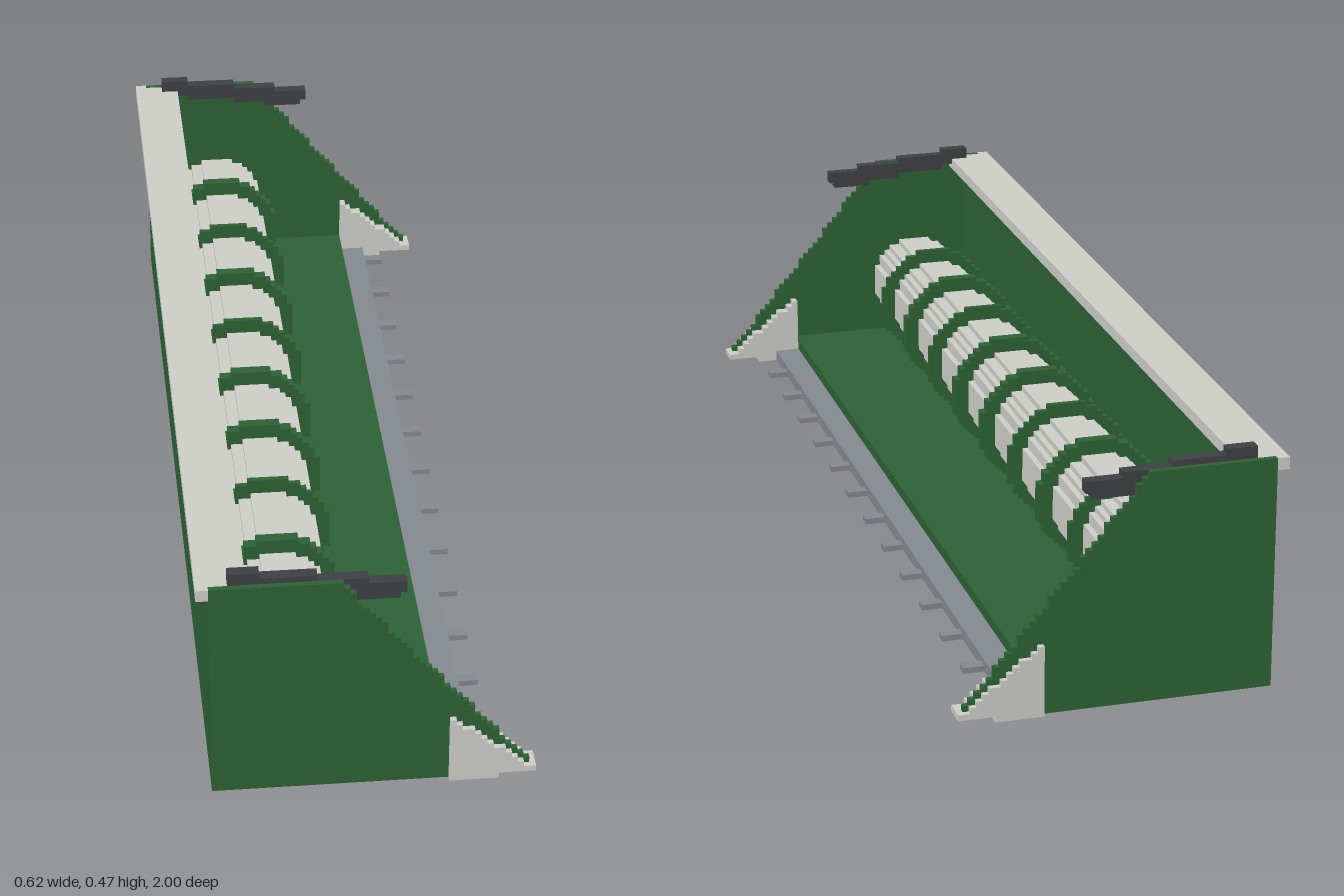
import * as THREE from 'three';

const U = 2 / 174; // size of one block; all dimensions below are in blocks

const mat = (name, color) => Object.assign(new THREE.MeshStandardMaterial({ color }), { name });

export function createModel() {
  const group = new THREE.Group();
  const green = mat('green', 0x2d6135);
  const white = mat('offWhite', 0xcdcdc8);
  const steel = mat('steel', 0x848990);
  const dark = mat('charcoal', 0x3d4043);

  const add = (name, geometry, material) => {
    const mesh = new THREE.Mesh(geometry, material);
    mesh.name = name;
    group.add(mesh);
    return mesh;
  };

  // Box given by its limits on each axis
  const box = (name, material, x0, x1, y0, y1, z0, z1) => {
    const g = new THREE.BoxGeometry((x1 - x0) * U, (y1 - y0) * U, (z1 - z0) * U);
    g.translate((x0 + x1) / 2 * U, (y0 + y1) / 2 * U, (z0 + z1) / 2 * U);
    return add(name, g, material);
  };

  // Side profile extruded across the width
  const slab = (name, material, points, z0, z1) => {
    const shape = new THREE.Shape(points.map(([x, y]) => new THREE.Vector2(x * U, y * U)));
    const g = new THREE.ExtrudeGeometry(shape, { depth: (z1 - z0) * U, bevelEnabled: false });
    g.translate(0, 0, z0 * U);
    return add(name, g, material);
  };

  // Staircase edge, one step per row, from row y0 up to y1
  const stairs = (y0, y1, endX) => {
    const pts = [];
    for (let i = y0; i < y1; i++) pts.push([endX(i), i], [endX(i), i + 1]);
    return pts;
  };

  // Blocky circle outline
  const blockCircle = (cx, cy, r) => {
    const f = r % 1;
    const right = stairs(0, 2 * r, i => {
      const y = i - r + 0.5;
      return Math.round(Math.sqrt(r * r - y * y) - f) + f;
    });
    const left = right.map(([x, y]) => [-x, y]).reverse();
    return [...right, ...left].map(([x, y]) => [x + cx, y + cy - r]);
  };

  // Trough
  box('floor', green, -25, 13, 0, 4, -85, 85);
  box('backWall', green, -25, -22, 4, 37, -85, 85);
  box('topRail', white, -25, -19, 37, 39, -85, 85);
  box('topRailOverhang', white, -27, -25, 37, 39, -86, 86);

  // Side panels, end wedges and top brackets
  const panel = [[-25, 0], [13, 0], [13, 2],
    ...stairs(2, 39, i => Math.round(-4 + (38 - i) * 0.82)), [-25, 39]];
  const wedge = [[13, 0], [21, 0], [21, 1],
    ...stairs(1, 12, i => Math.round(14 + (11 - i) * 1.25)), [13, 12]];
  const bracket = [[-22, 38], [-17, 38], [-17, 37], [-8, 37], [-8, 36], [-2, 36], [-2, 35],
    [5, 35], [5, 36], [6, 36], [6, 38], [0, 38], [0, 39], [-8, 39], [-8, 40], [-17, 40],
    [-17, 41], [-22, 41]];
  const mirrored = (name, material, pts, z0, z1) => {
    slab(name + 'Left', material, pts, z0, z1);
    slab(name + 'Right', material, pts, -z1, -z0);
  };
  mirrored('sidePanel', green, panel, 85, 86);
  mirrored('endWedge', white, wedge, 83, 87);
  mirrored('topBracket', dark, bracket, 83, 85);

  // Auger drum with flights
  slab('augerDrum', white, blockCircle(-11.5, 14.5, 8), -85, 85);
  const flight = blockCircle(-11.5, 14.5, 10.5);
  [2, 1, 2, 1, 2, 2, 1, 2, 1].forEach((t, k) => {
    const z = (-0.82 + 0.2025 * k) / U;
    slab('augerFlight' + (k + 1), green, flight, z - t / 2, z + t / 2);
  });

  // Cutter bar and fingers
  box('cutterBar', steel, 13, 17.5, 0, 2, -83, 83);
  for (let k = 0; k < 13; k++) {
    const z = (-0.925 + 0.148 * k) / U;
    box('cutterFinger' + (k + 1), steel, 17.5, 21, 0, 1, z - 1, z + 1);
  }

  return group;
}
